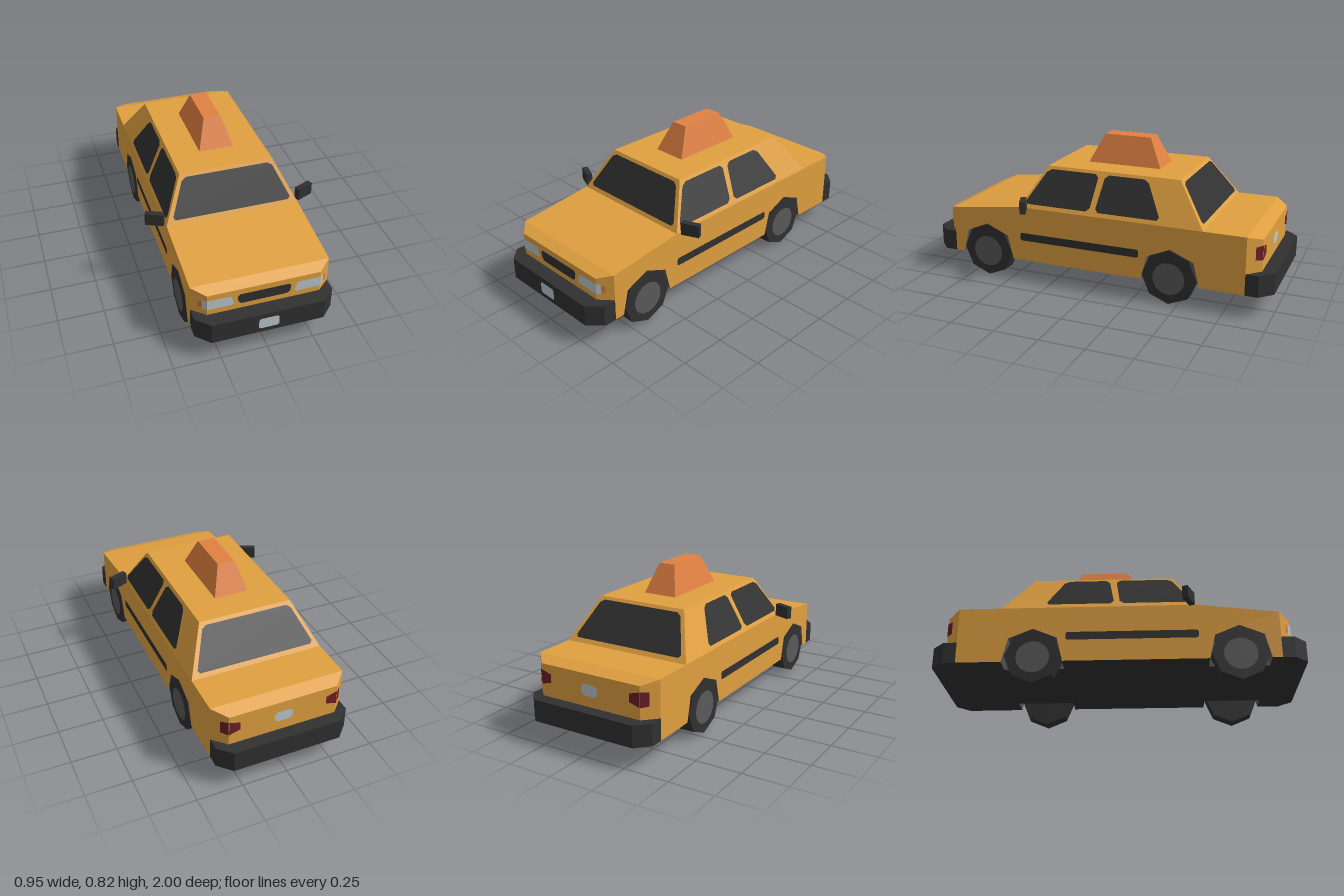
import * as THREE from 'three';

const paint = (name, color) => Object.assign(new THREE.MeshStandardMaterial({ color }), { name });
const V = (x, y, z) => new THREE.Vector3(x, y, z);
const CORE = V(0, 0.3, 0);
const flipX = (pts) => pts.map((p) => V(-p.x, p.y, p.z));

// Newell normal of a planar polygon
function normalOf(pts) {
  const n = V(0, 0, 0);
  pts.forEach((p, i) => n.add(p.clone().cross(pts[(i + 1) % pts.length])));
  return n.normalize();
}

// Flat faces from planar outlines; they face away from the core, or toward a given point
function facesGeometry(polys, { lift = 0, toward = null } = {}) {
  const pos = [], nor = [];
  for (let pts of polys) {
    const mid = pts.reduce((s, p) => s.add(p), V(0, 0, 0)).divideScalar(pts.length);
    const want = toward ? toward.clone().sub(mid) : mid.sub(CORE);
    let n = normalOf(pts);
    if (n.dot(want) < 0) { pts = [...pts].reverse(); n = n.negate(); }
    const u = (Math.abs(n.y) > 0.9 ? V(1, 0, 0) : V(0, 1, 0)).cross(n).normalize();
    const v = n.clone().cross(u);
    const flat = pts.map((p) => new THREE.Vector2(p.dot(u), p.dot(v)));
    for (const tri of THREE.ShapeUtils.triangulateShape(flat, [])) {
      for (const i of tri) {
        pos.push(...pts[i].clone().addScaledVector(n, lift).toArray());
        nor.push(n.x, n.y, n.z);
      }
    }
  }
  const g = new THREE.BufferGeometry();
  g.setAttribute('position', new THREE.Float32BufferAttribute(pos, 3));
  g.setAttribute('normal', new THREE.Float32BufferAttribute(nor, 3));
  return g;
}

// Cut each corner of an outline
function trim(pts, d) {
  return pts.flatMap((p, i) => [pts[(i + pts.length - 1) % pts.length], pts[(i + 1) % pts.length]]
    .map((q) => p.clone().addScaledVector(q.clone().sub(p).normalize(), d)));
}

// Four sides and top of a tapered block: [halfX, y, zFront, zBack] at foot and top
function taper([x0, y0, f0, b0], [x1, y1, f1, b1]) {
  const foot = [V(x0, y0, f0), V(x0, y0, b0), V(-x0, y0, b0), V(-x0, y0, f0)];
  const top = [V(x1, y1, f1), V(x1, y1, b1), V(-x1, y1, b1), V(-x1, y1, f1)];
  return [...foot.map((p, i) => [p, foot[(i + 1) % 4], top[(i + 1) % 4], top[i]]), top];
}

export function createModel() {
  const car = new THREE.Group();
  const yellow = paint('taxi yellow', 0xe0a040);
  const black = paint('black trim', 0x303030);
  const orange = paint('sign orange', 0xe08142);
  const grey = paint('hub grey', 0x5a5a5a);
  const pale = paint('pale lamp', 0xb8c9d0);
  const red = paint('tail red', 0x6a2028);
  const amber = paint('indicator amber', 0xd07838);

  const add = (name, geometry, material) => {
    const m = new THREE.Mesh(geometry, material);
    m.name = name;
    car.add(m);
    return m;
  };
  const faces = (name, material, polys, opt) => add(name, facesGeometry(polys, opt), material);
  const both = (polys) => [...polys, ...polys.map(flipX)];
  const span = (half) => [...half, ...flipX(half).reverse()];
  const plate = (name, material, polys) => faces(name, material, polys, { lift: 0.004 });

  // Lower body with wheel arch notches
  const W = 0.37, floor = 0.12, belt = 0.435, axles = [-0.455, 0.645];
  const arch = (z) => [[-0.162, 0.12], [-0.13, 0.255], [0, 0.31], [0.13, 0.255], [0.162, 0.12]]
    .map(([dz, y]) => V(W, y, z + dz));
  const side = [
    V(W, floor, 0.86), V(W, 0.383, 0.86), V(W, belt, 0.43), V(W, belt, -0.86), V(W, floor, -0.86),
    ...axles.flatMap(arch),
  ];
  const noseCorner = [V(W, floor, 0.86), V(W, 0.383, 0.86), V(0.3, 0.36, 0.92), V(0.3, floor, 0.92)];
  const tailCorner = [V(W, floor, -0.86), V(W, belt, -0.86), V(0.3, 0.41, -0.93), V(0.3, floor, -0.93)];
  faces('body', yellow, [
    ...both([side, noseCorner, tailCorner]),
    span([V(0.3, 0.36, 0.92), V(0.3, floor, 0.92)]),
    span([V(W, 0.383, 0.86), V(0.3, 0.36, 0.92)]),
    span([V(W, belt, 0.43), V(W, 0.383, 0.86)]),
    span([V(W, belt, -0.63), V(W, belt, -0.86)]),
    span([V(W, belt, -0.86), V(0.3, 0.41, -0.93)]),
    span([V(0.3, 0.41, -0.93), V(0.3, floor, -0.93)]),
  ]);

  // Underside, open at the wheel wells
  const wellX = 0.26;
  const under = [V(0, floor, -0.86), V(W, floor, -0.86)];
  for (const z of axles) {
    under.push(V(W, floor, z - 0.162), V(wellX, floor, z - 0.162), V(wellX, floor, z + 0.162), V(W, floor, z + 0.162));
  }
  under.push(V(W, floor, 0.86), V(0, floor, 0.86));
  faces('underside', black, both([under]));

  // Cabin
  const roofY = 0.662, rise = roofY - belt;
  faces('cabin', yellow, taper([W, belt, 0.43, -0.63], [0.26, roofY, 0.3, -0.47]));

  // Roof sign
  faces('roofSign', orange, taper([0.097, roofY, 0.125, -0.3], [0.048, 0.82, 0.045, -0.225]));

  // Glass, laid on the sloped cabin sides
  const onSide = (z, y) => V(W - (y - belt) / rise * 0.11, y, z);
  const onFront = (x, y) => V(x, y, 0.43 - (y - belt) / rise * 0.13);
  const onBack = (x, y) => V(x, y, -0.63 + (y - belt) / rise * 0.16);
  const screen = (on) => trim(span([on(0.335, 0.456), on(0.247, 0.645)]), 0.018);
  plate('windscreen', black, [screen(onFront)]);
  plate('rearWindow', black, [screen(onBack)]);
  plate('sideWindows', black, both([
    trim([onSide(0.405, 0.456), onSide(0.012, 0.456), onSide(-0.012, 0.645), onSide(0.29, 0.645)], 0.02),
    trim([onSide(-0.02, 0.456), onSide(-0.395, 0.456), onSide(-0.292, 0.645), onSide(-0.05, 0.645)], 0.02),
  ]));

  // Side strips and grille
  plate('sideStrips', black, both([
    trim([V(W, 0.24, 0.43), V(W, 0.285, 0.43), V(W, 0.285, -0.278), V(W, 0.24, -0.278)], 0.008),
  ]));
  plate('grille', black, [trim(span([V(0.145, 0.33, 0.92), V(0.135, 0.27, 0.92)]), 0.014)]);

  // Lamps that wrap round the corners
  const nose = (x, y) => V(x, y, 0.92 - Math.max(0, x - 0.3) * 6 / 7);
  const tail = (x, y) => V(x, y, -0.93 + Math.max(0, x - 0.3));
  const patch = (on, x0, x1, y0, y1, cut = 0) => [on(x0, y0), on(x0, y1), on(x1, y1 - cut), on(x1, y0 + cut)];
  plate('headlights', pale, both([
    [nose(0.178, 0.33), nose(0.3, 0.33), nose(0.3, 0.272), nose(0.17, 0.272), nose(0.16, 0.285)],
    patch(nose, 0.3, 0.32, 0.272, 0.33),
  ]));
  plate('indicators', amber, both([patch(nose, 0.32, 0.337, 0.275, 0.325, 0.008)]));
  plate('tailLights', red, both([
    patch(tail, 0.3, 0.24, 0.3, 0.38, 0.018),
    patch(tail, 0.3, 0.332, 0.3, 0.38, 0.005),
  ]));

  // Blank registration plates
  plate('frontPlate', pale, [trim(span([V(0.054, 0.147, 1), V(0.054, 0.212, 1)]), 0.009)]);
  plate('rearPlate', pale, [trim(span([V(0.05, 0.295, -0.93), V(0.05, 0.355, -0.93)]), 0.016)]);

  // Bumpers with cut corners
  const outline = [[-W, 0.86], [W, 0.86], [W, 0.93], [0.3, 1], [-0.3, 1], [-W, 0.93]];
  const bumper = new THREE.ExtrudeGeometry(
    new THREE.Shape(outline.map(([x, z]) => new THREE.Vector2(x, z))), { depth: 0.117, bevelEnabled: false });
  bumper.rotateX(Math.PI / 2).translate(0, 0.236, 0);
  add('frontBumper', bumper, black);
  add('rearBumper', bumper, black).rotation.y = Math.PI;

  // Wheels, hubs, wells and mirrors on each side
  const tyre = new THREE.CylinderGeometry(0.153, 0.153, 0.08, 8).rotateZ(Math.PI / 2).toNonIndexed();
  tyre.computeVertexNormals();
  const hub = new THREE.CircleGeometry(0.09, 16).rotateY(Math.PI / 2);
  for (const s of [1, -1]) {
    const label = s > 0 ? 'left' : 'right';
    axles.forEach((z, i) => {
      const end = label + (i ? 'Front' : 'Rear');
      add(end + 'Tyre', tyre, black).position.set(s * 0.33, 0.153, z + (i ? 0 : 0.005));
      const cap = add(end + 'Hub', hub, grey);
      cap.position.set(s * 0.374, 0.145, z + (i ? 0 : 0.005));
      if (s < 0) cap.rotation.y = Math.PI;

      const rim = arch(z), inner = rim.map((p) => V(wellX, p.y, p.z));
      const walls = rim.slice(1).map((p, k) => [rim[k], p, inner[k + 1], inner[k]]);
      const well = [...walls, inner];
      faces(end + 'WheelWell', grey, s > 0 ? well : well.map(flipX), { toward: V(s * 0.33, 0.17, z) });
    });
    const mirror = add(label + 'Mirror', new THREE.BoxGeometry(0.1, 0.07, 0.032), black);
    mirror.position.set(s * 0.422, 0.465, 0.38);
    mirror.rotation.y = s * 0.41;
  }
  return car;
}
